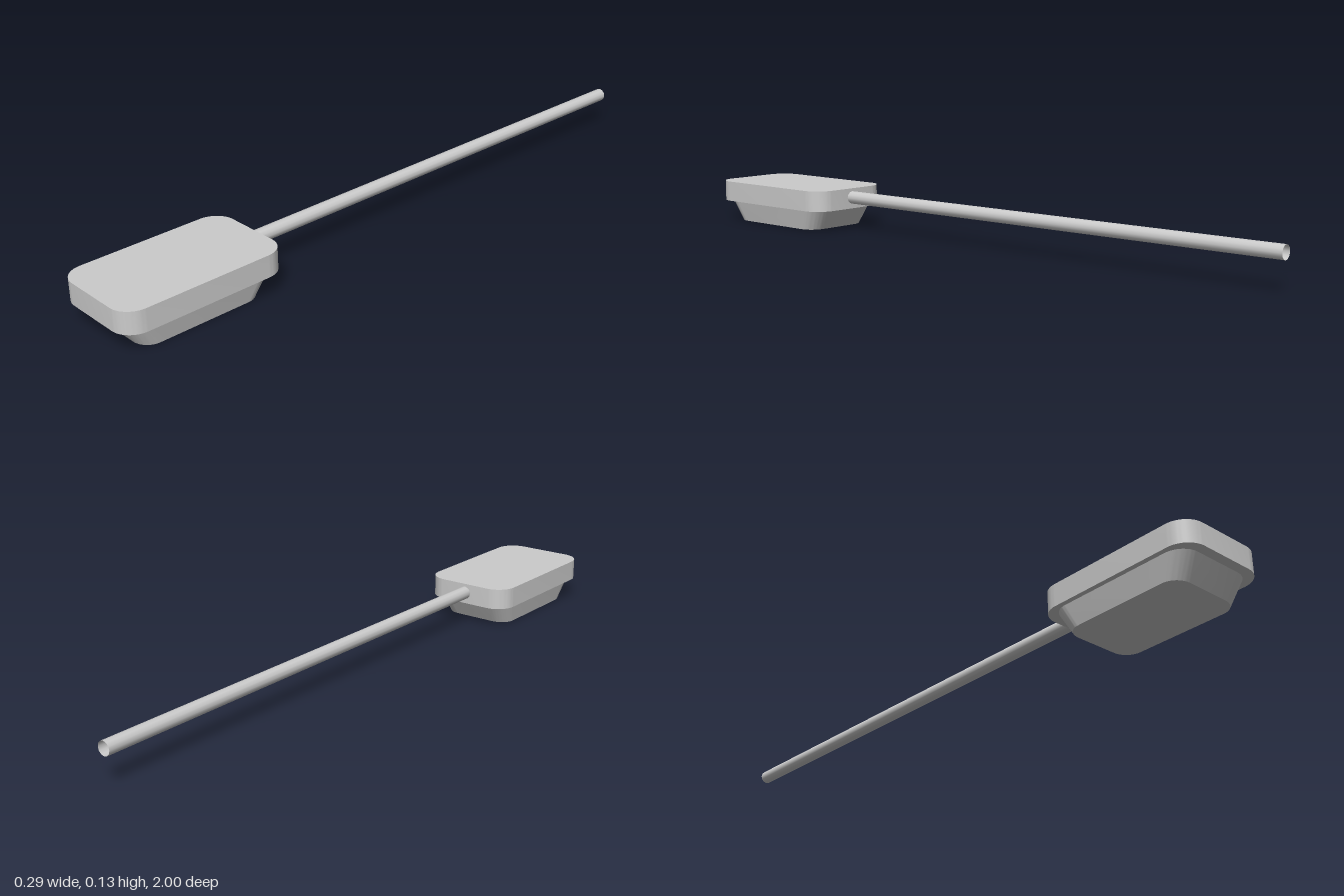
import * as THREE from 'three';
import { toCreasedNormals } from 'three/addons/utils/BufferGeometryUtils.js';

const material = new THREE.MeshStandardMaterial({ color: 0xcccccc });
const CENTER_Z = 0.7525;

// Upright slab with rounded corners, standing on y = 0
function roundedSlab(halfX, halfZ, radius, height) {
  const shape = new THREE.Shape();
  const quarter = Math.PI / 2;
  [[1, 1], [-1, 1], [-1, -1], [1, -1]].forEach(([sx, sy], i) => {
    shape.absarc(sx * (halfX - radius), sy * (halfZ - radius), radius, i * quarter, (i + 1) * quarter, false);
  });
  shape.closePath();
  const geometry = new THREE.ExtrudeGeometry(shape, { depth: height, bevelEnabled: false, curveSegments: 8 });
  return geometry.rotateX(-Math.PI / 2);
}

function addMesh(group, name, geometry, mat = material) {
  const mesh = new THREE.Mesh(geometry, mat);
  mesh.name = name;
  group.add(mesh);
  return mesh;
}

export function createModel() {
  const group = new THREE.Group();
  group.name = 'longHandledPan';

  // Flat lid with vertical walls
  const lid = addMesh(group, 'lid', toCreasedNormals(roundedSlab(0.144, 0.2475, 0.062, 0.064), 0.6));
  lid.position.set(0, 0.065, CENTER_Z);

  // Pan below the lid, tapering towards its base
  const panGeometry = roundedSlab(0.129, 0.22, 0.055, 0.065);
  const p = panGeometry.attributes.position;
  for (let i = 0; i < p.count; i++) {
    if (p.getY(i) < 0.01) {
      p.setX(i, p.getX(i) * 0.115 / 0.129);
      p.setZ(i, p.getZ(i) * 0.183 / 0.22);
    }
  }
  const pan = addMesh(group, 'pan', toCreasedNormals(panGeometry, 0.6));
  pan.position.z = CENTER_Z;

  // Long hollow handle, open at the far end
  const tubeMaterial = material.clone();
  tubeMaterial.side = THREE.DoubleSide;
  const handleGeometry = new THREE.CylinderGeometry(0.02, 0.02, 1.51, 12, 1, true).rotateX(Math.PI / 2);
  const handle = addMesh(group, 'handle', handleGeometry, tubeMaterial);
  handle.position.set(0, 0.1, -0.245);

  return group;
}
